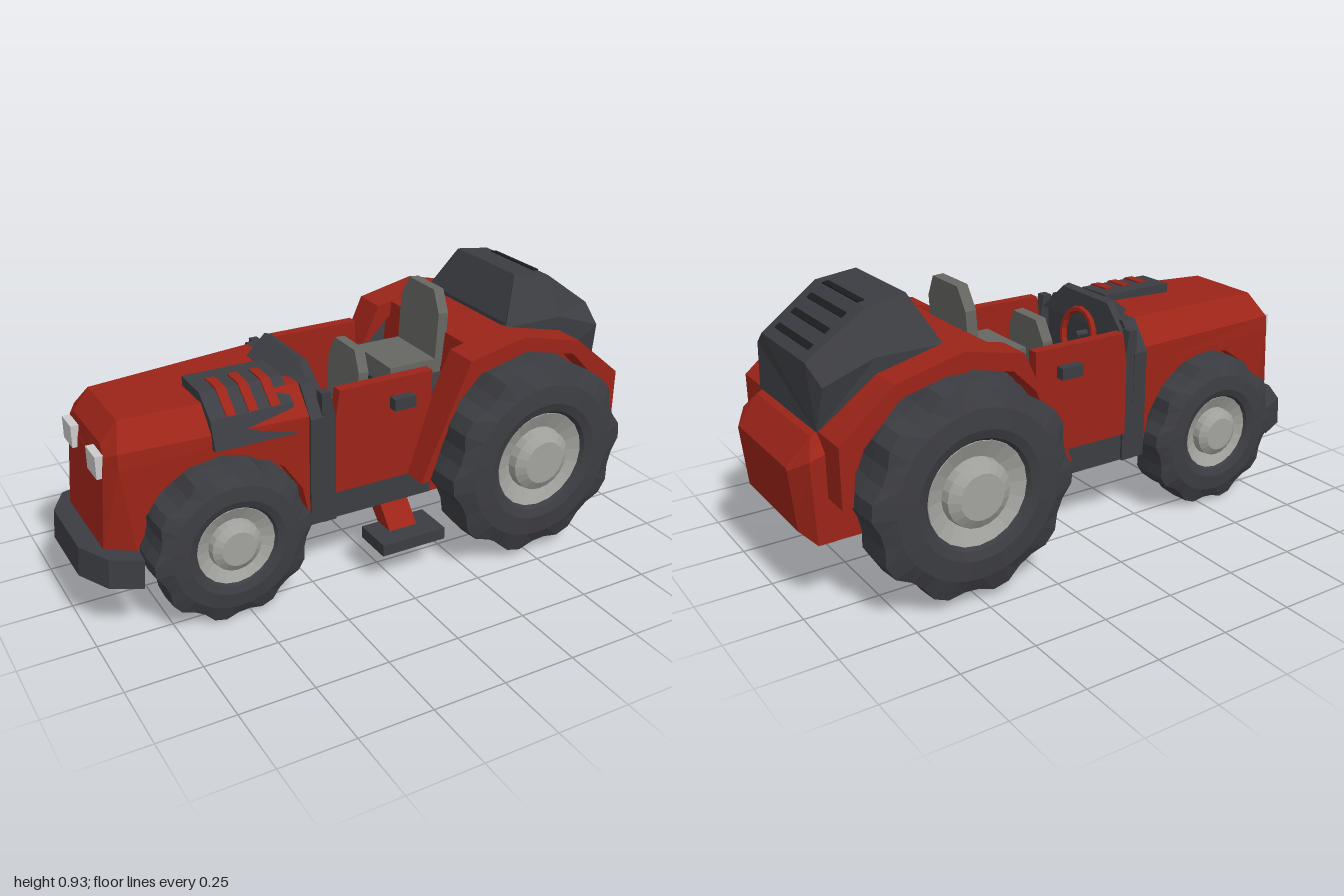
import * as THREE from 'three';

const mat = (color, side = THREE.FrontSide) => new THREE.MeshStandardMaterial({ color, flatShading: true, side });
const RED = mat(0x9c2418), DARK = mat(0x3c3d42), BLACK = mat(0x1c1d20);
const METAL = mat(0xa2a29e), SEAT = mat(0x666663), LAMP = mat(0xc4c4c0);

// Extrude an outline along one axis: z takes [x,y], x takes [z,y], y takes [x,z]
function prism(axis, pts, a, b) {
  const flat = pts.map(([u, v]) => new THREE.Vector2(axis === 'x' ? -u : u, axis === 'y' ? -v : v));
  const g = new THREE.ExtrudeGeometry(new THREE.Shape(flat), { depth: b - a, bevelEnabled: false });
  g.translate(0, 0, a);
  if (axis === 'x') g.rotateY(Math.PI / 2);
  if (axis === 'y') g.rotateX(-Math.PI / 2);
  return g;
}

// Skin mirrored half sections [x,y,z], each listed from bottom to top, ordered along +x
function loft(halves) {
  const rings = halves.map(h => [...h.map(([x, y, z]) => [x, y, -z]), ...[...h].reverse()]);
  const n = rings[0].length, last = (rings.length - 1) * n, index = [];
  for (let i = 0; i < rings.length - 1; i++) {
    for (let j = 0; j < n; j++) {
      const a = i * n + j, b = i * n + (j + 1) % n;
      index.push(a, b, a + n, b, b + n, a + n);
    }
  }
  for (let j = 1; j < n - 1; j++) {
    index.push(0, j + 1, j);
    index.push(last, last + j, last + j + 1);
  }
  const g = new THREE.BufferGeometry();
  g.setAttribute('position', new THREE.Float32BufferAttribute(rings.flat(2), 3));
  g.setIndex(index);
  g.computeVertexNormals();
  return g;
}

const box = (x0, x1, y0, y1, z0, z1) =>
  new THREE.BoxGeometry(x1 - x0, y1 - y0, z1 - z0).translate((x0 + x1) / 2, (y0 + y1) / 2, (z0 + z1) / 2);

// Lathe turned so its axle lies along z
const lathe = (pts, n) =>
  new THREE.LatheGeometry(pts.map(p => new THREE.Vector2(...p)), n).rotateX(Math.PI / 2);

function makeWheel() {
  const wheel = new THREE.Group();
  const tyre = lathe([[0.16, -0.07], [0.18, -0.095], [0.21, -0.105], [0.275, -0.1], [0.345, -0.078],
    [0.35, 0], [0.345, 0.078], [0.275, 0.1], [0.21, 0.105], [0.18, 0.095], [0.16, 0.07]], 40);
  // Ten chunky lugs: pull in every second pair of tread columns
  const p = tyre.attributes.position;
  for (let i = 0; i < p.count; i++) {
    const r = Math.hypot(p.getX(i), p.getY(i));
    if (r < 0.3) continue;
    const step = Math.round(Math.atan2(p.getY(i), p.getX(i)) / (Math.PI / 20)) + 40;
    const k = step % 4 < 2 ? 1 : 0.935;
    p.setXY(i, p.getX(i) * k, p.getY(i) * k);
  }
  const rim = lathe([[0, -0.11], [0.075, -0.11], [0.108, -0.09], [0.112, -0.06], [0.17, -0.085], [0.175, -0.07],
    [0.175, 0.07], [0.17, 0.085], [0.112, 0.06], [0.108, 0.09], [0.075, 0.11], [0, 0.11]], 20);
  const t = new THREE.Mesh(tyre, DARK), m = new THREE.Mesh(rim, METAL);
  t.name = 'tyre';
  m.name = 'rim';
  wheel.add(t, m);
  return wheel;
}

function makeSeat(add, name, x, y, width, height) {
  const w = width / 2;
  add(name + 'Cushion', box(x, x + 0.2, y - 0.05, y, -w, w), SEAT);
  const back = prism('x', [[-w, 0], [w, 0], [w, height * 0.72], [w * 0.65, height],
    [-w * 0.65, height], [-w, height * 0.72]], 0, 0.038);
  add(name + 'Back', back.rotateZ(-0.06).translate(x + 0.175, y - 0.03, 0), SEAT);
}

export function createModel() {
  const model = new THREE.Group();
  const add = (name, geometry, material) => {
    const m = new THREE.Mesh(geometry, material);
    m.name = name;
    model.add(m);
    return m;
  };

  // Hood, with lower side walls cut by the wheel arch
  add('hood', loft([
    [[-0.905, 0.555, 0.17], [-0.9, 0.6, 0.17], [-0.895, 0.63, 0.13]],
    [[-0.87, 0.555, 0.215], [-0.87, 0.62, 0.21], [-0.84, 0.697, 0.14]],
    [[-0.25, 0.555, 0.265], [-0.25, 0.63, 0.265], [-0.25, 0.715, 0.19]],
  ]), RED);
  const arch = [];
  for (let i = 0; i <= 8; i++) {
    const a = Math.PI * (1 - i / 8);
    arch.push([-0.55 + 0.285 * Math.cos(a), 0.27 + 0.285 * Math.sin(a)]);
  }
  const sides = prism('z', [[-0.93, 0.27], [-0.87, 0.27], ...arch, [-0.25, 0.27], [-0.25, 0.57], [-0.87, 0.57], [-0.905, 0.57]], -1, 1);
  const sp = sides.attributes.position;
  for (let i = 0; i < sp.count; i++) {
    const x = sp.getX(i);
    sp.setZ(i, sp.getZ(i) * (x < -0.88 ? 0.17 : 0.215 + (x + 0.87) * 0.08));
  }
  add('hoodSides', sides, RED);
  add('chassis', box(-0.87, 0.15, 0.24, 0.56 - 0.2, -0.155, 0.155), RED);
  add('engineBay', box(-0.86, -0.25, 0.3, 0.57, -0.155, 0.155), RED);

  // Vent panel on one shoulder of the hood
  const ventTop = [[0.01, 0.738], [0.15, 0.735], [0.23, 0.672], [0.262, 0.58]];
  add('vent', prism('x', [...ventTop, [0.2, 0.58], [0.15, 0.66], [0.01, 0.66]], -0.58, -0.3), DARK);
  for (const x of [-0.51, -0.435, -0.36]) {
    add('ventSlot', prism('x', [[0.07, 0.742], [0.152, 0.74], [0.232, 0.676], [0.2, 0.66], [0.07, 0.7]], x - 0.016, x + 0.016), RED);
  }

  // Cowl and raised dashboard
  add('cowl', loft([-0.262, -0.21].map(x =>
    [[x, 0.24, 0.27], [x, 0.62, 0.275], [x, 0.715, 0.205]])), DARK);
  add('dashboard', loft([
    [[-0.305, 0.68, 0.11], [-0.305, 0.715, 0.1]],
    [[-0.23, 0.64, 0.24], [-0.225, 0.768, 0.13]],
    [[-0.19, 0.66, 0.24], [-0.2, 0.76, 0.13]],
  ]), DARK);
  const wheelRing = new THREE.TorusGeometry(0.088, 0.012, 6, 16).rotateY(Math.PI / 2).rotateZ(0.15);
  add('steeringWheel', wheelRing.translate(-0.175, 0.62, 0), RED);
  add('steeringColumn', new THREE.CylinderGeometry(0.012, 0.012, 0.06, 8).rotateZ(Math.PI / 2).translate(-0.195, 0.62, 0), DARK);

  // Cabin floor, riser and sills
  add('floor', box(-0.22, 0.2, 0.24, 0.36, -0.262, 0.262), DARK);
  add('frontSeatBase', box(-0.16, 0.02, 0.35, 0.47, -0.09, 0.09), DARK);
  add('rearSeatRiser', box(0.09, 0.33, 0.35, 0.61, -0.235, 0.235), DARK);
  makeSeat(add, 'frontSeat', -0.18, 0.51, 0.21, 0.25);
  makeSeat(add, 'rearSeat', 0.12, 0.66, 0.24, 0.265);

  // Parts repeated on both sides
  for (const s of [1, -1]) {
    const pair = (name, axis, pts, a, b, material) =>
      add(name, prism(axis, pts, Math.min(a * s, b * s), Math.max(a * s, b * s)), material);
    pair('pillar', 'z', [[-0.22, 0.24], [-0.17, 0.24], [-0.17, 0.6], [-0.19, 0.7], [-0.22, 0.7]], 0.235, 0.272, DARK);
    pair('door', 'z', [[-0.175, 0.34], [0.1, 0.34], [0.185, 0.6], [0.185, 0.7], [-0.16, 0.7], [-0.175, 0.6]], 0.238, 0.276, RED);
    pair('doorHandle', 'z', [[0.025, 0.6], [0.105, 0.6], [0.105, 0.64], [0.025, 0.64]], 0.27, 0.31, DARK);
    pair('rearFender', 'z', [[0.1, 0.34], [0.28, 0.74], [0.49, 0.785], [0.72, 0.73], [0.9, 0.58], [0.9, 0.385],
      [0.865, 0.385], [0.85, 0.53], [0.7, 0.685], [0.5, 0.732], [0.32, 0.69], [0.24, 0.61], [0.18, 0.47], [0.135, 0.34]], 0.235, 0.36, RED);
    add('headlight', box(-0.925, -0.88, 0.53, 0.605, s * 0.12 - 0.045, s * 0.12 + 0.045), LAMP);

    const front = makeWheel(), rear = makeWheel();
    front.name = 'frontWheel';
    front.scale.set(0.775, 0.775, 0.86);
    front.position.set(-0.55, 0.274, s * 0.249);
    rear.name = 'rearWheel';
    rear.position.set(0.51, 0.373, s * 0.375);
    model.add(front, rear);
  }

  // Rear body, engine cover and tail
  add('rearBody', prism('z', [[0.1, 0.24], [0.9, 0.24], [0.9, 0.58], [0.72, 0.725], [0.49, 0.78],
    [0.335, 0.75], [0.32, 0.6], [0.1, 0.35]], -0.26, 0.26), RED);
  add('engineCover', loft([
    [[0.49, 0.6, 0.25], [0.49, 0.78, 0.25], [0.5, 0.79, 0.235]],
    [[0.55, 0.6, 0.25], [0.55, 0.78, 0.25], [0.575, 0.932, 0.17]],
    [[0.7, 0.6, 0.25], [0.72, 0.78, 0.25], [0.71, 0.912, 0.18]],
    [[0.904, 0.578, 0.22], [0.89, 0.72, 0.248], [0.904, 0.775, 0.165]],
  ]), DARK);
  for (const x of [0.7, 0.755, 0.81, 0.865]) {
    const y = 0.912 - (x - 0.71) * 0.706;
    add('coverSlot', new THREE.BoxGeometry(0.022, 0.008, 0.25).rotateZ(x > 0.71 ? -0.615 : -0.15).translate(x, Math.min(y, 0.914), 0), BLACK);
  }
  add('tail', loft([
    [[0.88, 0.24, 0.262], [0.88, 0.53, 0.262], [0.88, 0.585, 0.21]],
    [[0.94, 0.24, 0.262], [0.95, 0.51, 0.262], [0.92, 0.565, 0.21]],
    [[0.975, 0.27, 0.198], [0.995, 0.47, 0.198], [0.995, 0.478, 0.19]],
  ]), RED);

  // Wrapped front bumper
  const half = [[-1, 0.13], [-0.94, 0.24], [-0.84, 0.28], [-0.835, 0.2], [-0.9, 0.17], [-0.925, 0.1]];
  const bumper = prism('y', [...half, ...[...half].reverse().map(([x, z]) => [x, -z])], -0.05, 0.05);
  add('bumper', bumper.translate(0.92, 0, 0).rotateZ(-0.08).translate(-0.918, 0.242, 0), DARK);

  // Step on one side, hung from a slanted bracket
  add('stepBracket', prism('x', [[0.16, 0.25], [0.25, 0.25], [0.33, 0.16], [0.25, 0.16]], 0.005, 0.11), RED);
  add('step', box(-0.06, 0.18, 0.125, 0.167, 0.25, 0.392), DARK);

  return model;
}
